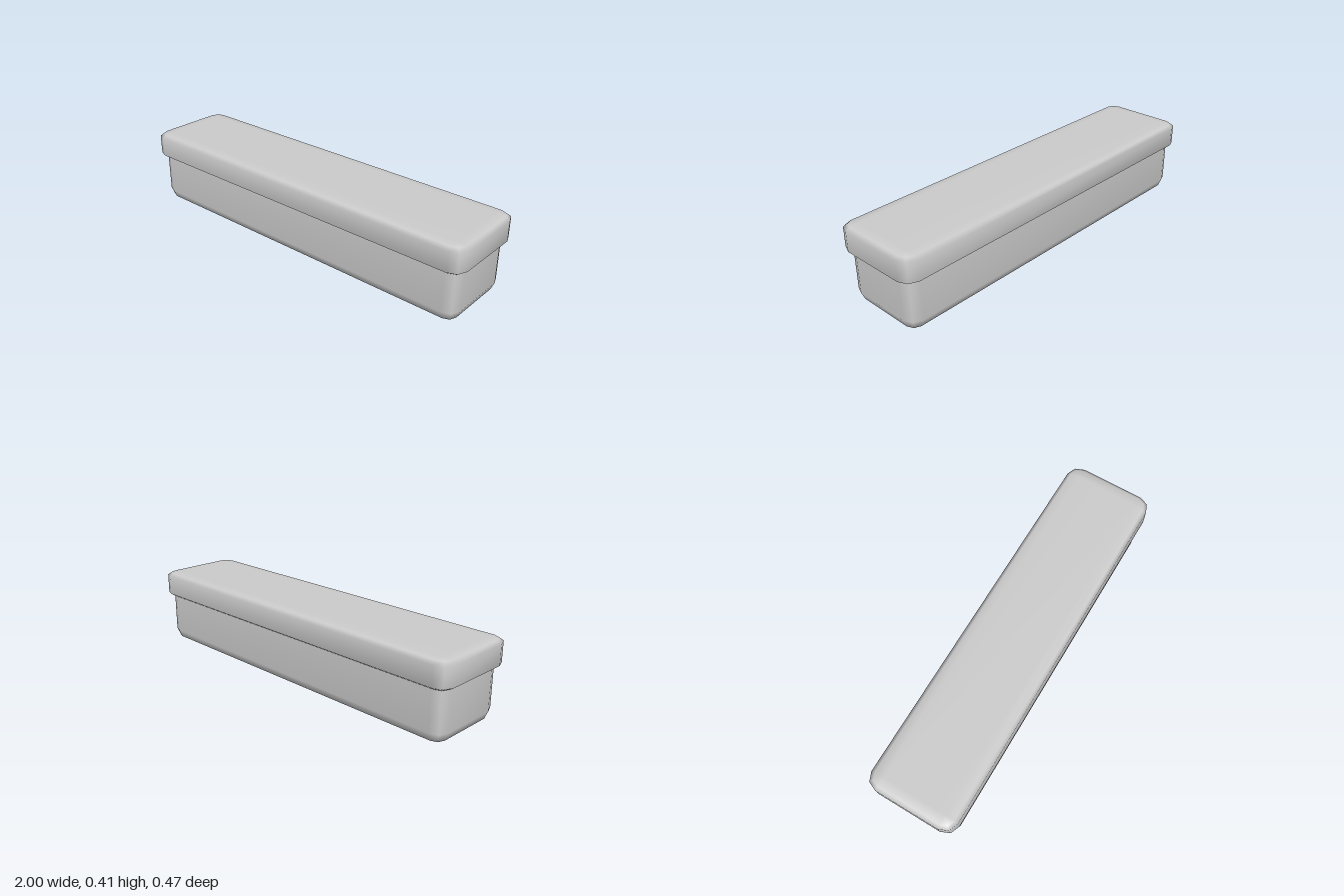
import * as THREE from 'three';
import { mergeVertices } from 'three/addons/utils/BufferGeometryUtils.js';

// Closed soft-cornered block: rounded-rectangle rings stacked along a profile of [inset, y]
function softBlock(halfX, halfZ, radius, profile) {
  const steps = 2, ring = 4 * (steps + 1);
  const pos = [], index = [];
  for (const [inset, y] of profile) {
    for (let q = 0; q < 4; q++) {
      const sx = q === 0 || q === 3 ? 1 : -1, sz = q < 2 ? 1 : -1;
      for (let s = 0; s <= steps; s++) {
        const a = (q + s / steps) * Math.PI / 2, r = radius - inset;
        pos.push(sx * (halfX - radius) + r * Math.cos(a), y, sz * (halfZ - radius) + r * Math.sin(a));
      }
    }
  }
  // Walls between neighbouring rings
  for (let k = 0; k < profile.length - 1; k++) {
    for (let i = 0; i < ring; i++) {
      const j = (i + 1) % ring, a = k * ring + i, b = k * ring + j;
      index.push(a, a + ring, b, b, a + ring, b + ring);
    }
  }
  // Bottom and top caps
  const top = (profile.length - 1) * ring;
  for (let i = 1; i < ring - 1; i++) {
    index.push(0, i, i + 1, top, top + i + 1, top + i);
  }
  const geo = new THREE.BufferGeometry();
  geo.setAttribute('position', new THREE.Float32BufferAttribute(pos, 3));
  geo.setIndex(index);
  const merged = mergeVertices(geo, 1e-4);
  merged.computeVertexNormals();
  return merged;
}

export function createModel() {
  const group = new THREE.Group();
  const material = new THREE.MeshStandardMaterial({ color: 0xcccccc });
  const add = (name, geometry) => {
    const mesh = new THREE.Mesh(geometry, material);
    mesh.name = name;
    group.add(mesh);
  };

  // Box body, its top tucked inside the lid
  add('body', softBlock(0.975, 0.212, 0.062, [
    [0.062, 0], [0.018, 0.018], [0, 0.06], [0, 0.33], [0.018, 0.365], [0.062, 0.38],
  ]));

  // Overhanging lid with small softened edges
  add('lid', softBlock(1, 0.237, 0.067, [
    [0.067, 0.267], [0.02, 0.271], [0, 0.284], [0, 0.386], [0.02, 0.401], [0.067, 0.406],
  ]));

  return group;
}
